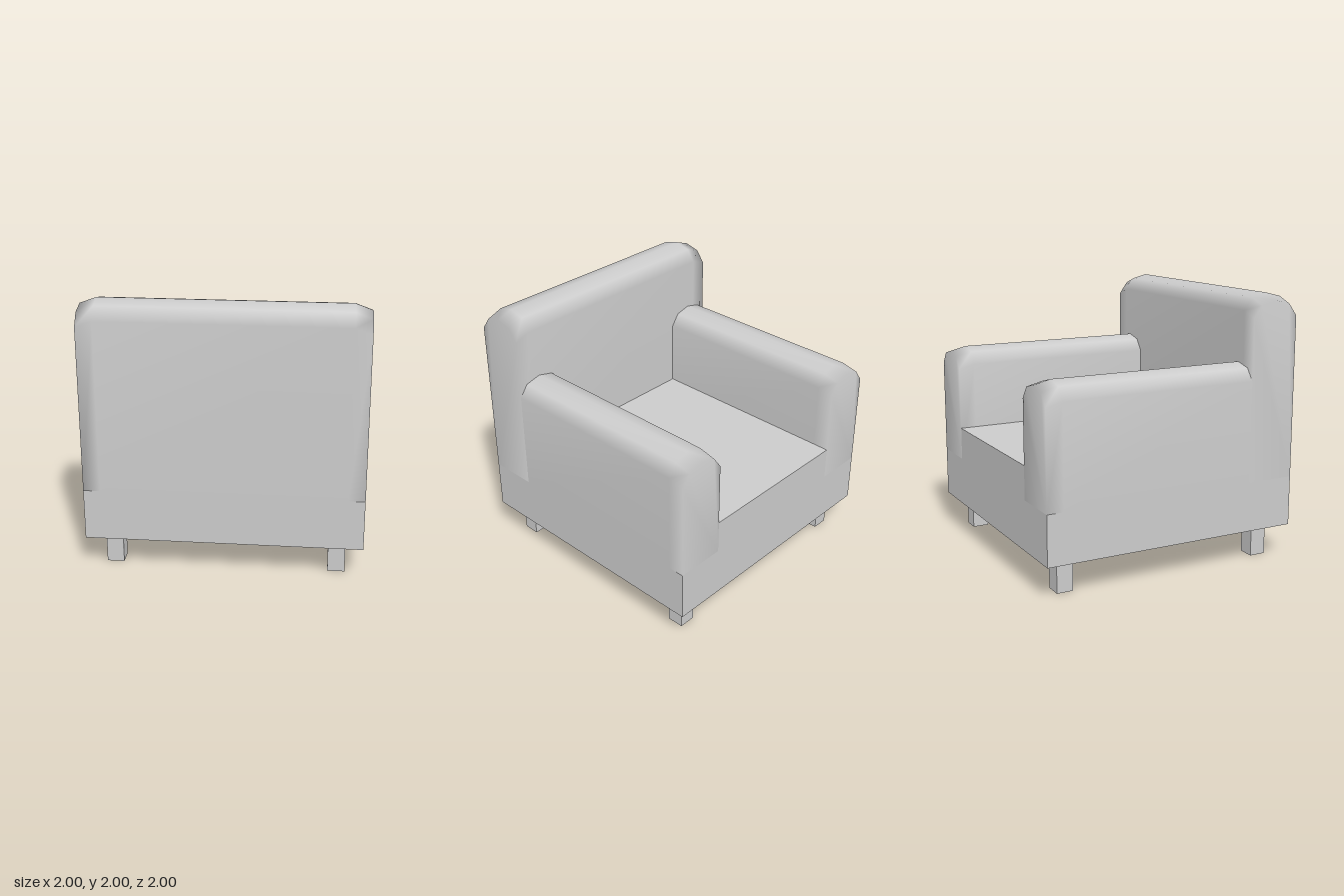
import * as THREE from 'three';

const material = new THREE.MeshStandardMaterial({ color: 0xcccccc });
const BASE_TOP = 0.625;

function addBox(parent, name, w, h, d, x, y, z) {
  const mesh = new THREE.Mesh(new THREE.BoxGeometry(w, h, d), material);
  mesh.name = name;
  mesh.position.set(x, y, z);
  parent.add(mesh);
}

// Round-topped upholstered slab running along z; each station is [z, drop of the crown]
function bolster(top, stations, capEnd) {
  const half = 0.185;
  const profile = [
    [-half, BASE_TOP], [-half, top - 0.12], [-0.12, top - 0.03], [0, top],
    [0.12, top - 0.03], [half, top - 0.12], [half, BASE_TOP],
  ];
  const n = profile.length, positions = [], index = [];
  for (const [z, drop] of stations) {
    for (const [x, y] of profile) positions.push(x, y > BASE_TOP ? y - drop : y, z);
  }
  for (let i = 0; i < stations.length - 1; i++) {
    for (let j = 0; j < n - 1; j++) {
      const a = i * n + j, d = a + n;
      index.push(a, d, d + 1, a, d + 1, a + 1);
    }
  }
  // End caps share their vertices with the sides for soft edges
  const last = (stations.length - 1) * n;
  for (let j = 1; j < n - 1; j++) {
    index.push(0, j, j + 1);
    if (capEnd) index.push(last, last + j + 1, last + j);
  }
  const geometry = new THREE.BufferGeometry();
  geometry.setAttribute('position', new THREE.Float32BufferAttribute(positions, 3));
  geometry.setIndex(index);
  geometry.computeVertexNormals();
  return geometry;
}

export function createModel() {
  const armchair = new THREE.Group();
  armchair.name = 'armchair';

  // Base frame and seat
  addBox(armchair, 'base', 2, 0.375, 2, 0, 0.4375, 0);
  addBox(armchair, 'seat', 1.26, 0.25, 1.63, 0, 0.75, -0.185);

  // Square legs
  for (const x of [-1, 1]) {
    for (const z of [-1, 1]) addBox(armchair, 'leg', 0.125, 0.25, 0.125, x * 0.8125, 0.125, z * 0.8125);
  }

  // Armrests, ending against the backrest
  const armGeometry = bolster(1.5, [[-1, 0.03], [-0.875, 0], [0.63, 0]], false);
  for (const side of [-1, 1]) {
    const arm = new THREE.Mesh(armGeometry, material);
    arm.name = side > 0 ? 'leftArmrest' : 'rightArmrest';
    arm.position.x = side * 0.815;
    armchair.add(arm);
  }

  // Backrest across the full width
  const back = new THREE.Mesh(
    bolster(2, [[-1, 0.045], [-0.88, 0], [0.88, 0], [1, 0.045]], true), material);
  back.name = 'backrest';
  back.rotation.y = Math.PI / 2;
  back.position.z = 0.815;
  armchair.add(back);

  return armchair;
}
